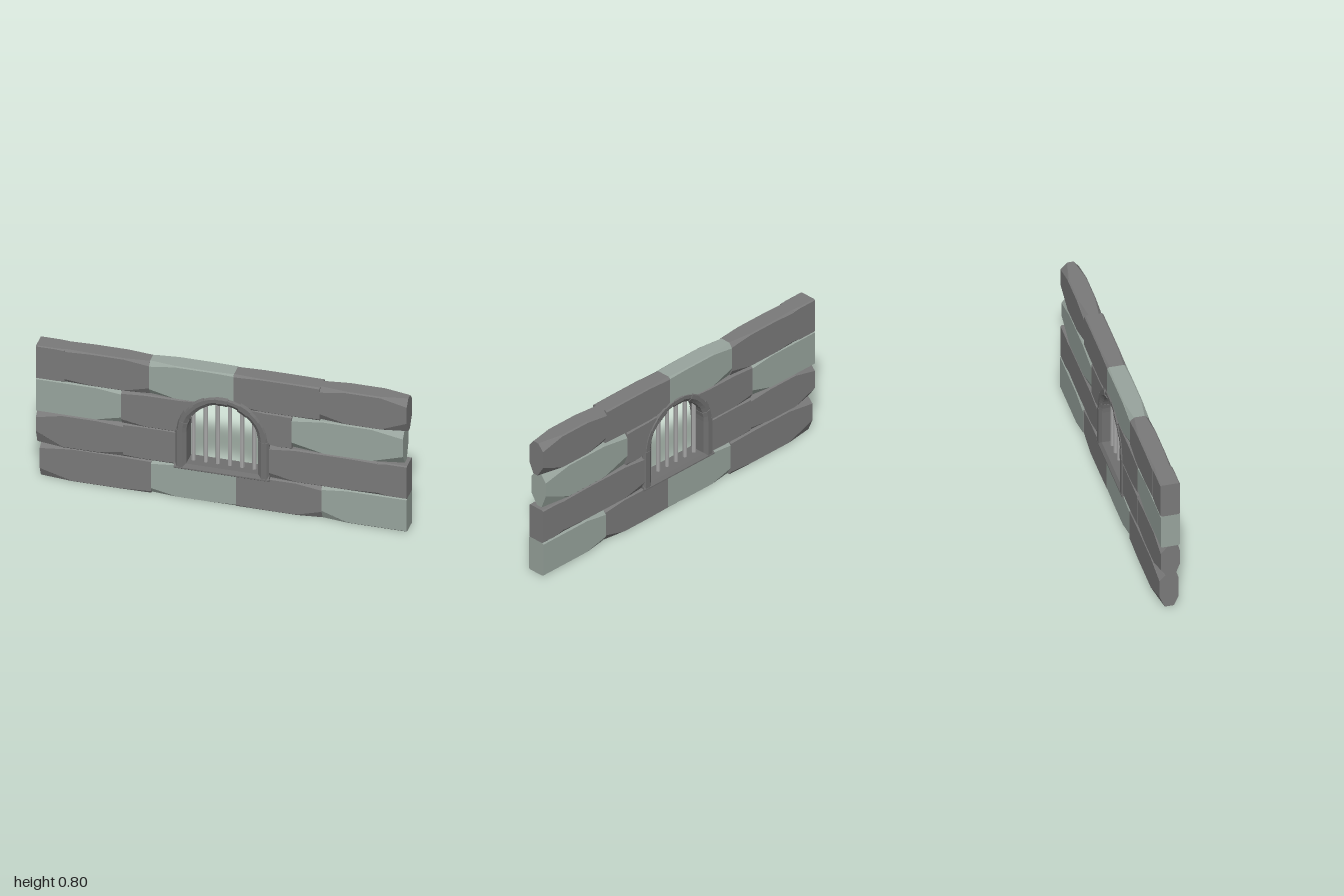
import * as THREE from 'three';

const DARK = 0x7a7a7a, GREEN = 0x98a49d, FRAME = 0x707070, BAR = 0xa6a6a6;
const CX = 0.005, CY = 0.41; // centre of the window arch

let seed = 11;
const rand = () => (seed = (seed * 16807) % 2147483647) / 2147483647;
const vary = (a, b) => a + (b - a) * rand();

const materials = {};
const mat = (color) => (materials[color] ??= new THREE.MeshStandardMaterial({ color, flatShading: true }));

// Skin a row of equal-length cross-sections and cap both ends
function loft(rings) {
  const pos = [];
  const tri = (a, b, c) => pos.push(...a, ...b, ...c);
  const n = rings[0].length, last = rings[rings.length - 1];
  for (let i = 0; i < rings.length - 1; i++) {
    for (let j = 0; j < n; j++) {
      const k = (j + 1) % n;
      tri(rings[i][j], rings[i][k], rings[i + 1][k]);
      tri(rings[i][j], rings[i + 1][k], rings[i + 1][j]);
    }
  }
  for (let j = 1; j < n - 1; j++) {
    tri(rings[0][0], rings[0][j + 1], rings[0][j]);
    tri(last[0], last[j], last[j + 1]);
  }
  const g = new THREE.BufferGeometry();
  g.setAttribute('position', new THREE.Float32BufferAttribute(pos, 3));
  g.computeVertexNormals();
  return g;
}

// Rectangle u0..u1 by v0..v1 with four cut corners [du, dv], counter-clockwise
function cutRect(u0, u1, v0, v1, [a, b, c, d]) {
  return [
    [u1, v1 - a[1]], [u1 - a[0], v1], [u0 + b[0], v1], [u0, v1 - b[1]],
    [u0, v0 + c[1]], [u0 + c[0], v0], [u1 - d[0], v0], [u1, v0 + d[1]],
  ];
}

// Wall stone from x0 to x1; wearL and wearR (0..1) say how far each end is worn away
function wallStone(x0, x1, y0, wearL, wearR) {
  const taper = Math.min(0.17, 0.3 * (x1 - x0));
  const xs = [x0, x0 + taper, x1 - taper, x1];
  if (y0 >= 0.4) {
    for (let i = 0; i <= 14; i++) {
      const x = CX - 0.22 * Math.cos((i / 14) * Math.PI);
      if (x > x0 + 0.005 && x < x1 - 0.005) xs.push(x);
    }
  }
  xs.sort((a, b) => a - b);
  const skew = [0, 1, 2, 3].map(() => [vary(0.7, 1.1), vary(0.7, 1.1)]);
  const zf = vary(0.044, 0.049), zb = vary(-0.057, -0.053);
  const rings = xs.map((x) => {
    const l = Math.max(0, 1 - (x - x0) / taper), r = Math.max(0, 1 - (x1 - x) / taper);
    const wear = l * wearL + r * wearR;
    // the underside follows the arch above the window
    const dx = Math.abs(x - CX);
    const bottom = dx <= 0.2201 && y0 >= 0.4
      ? Math.max(y0, CY + Math.sqrt(Math.max(0, 0.22 ** 2 - dx * dx))) : y0;
    const top = y0 + 0.2, s = Math.max(0.02, Math.min(1, (top - bottom) / 0.2));
    const corner = (i, high) => [
      s * (0.006 + wear * (high ? 0.035 : 0.075)) * skew[i][0],
      (0.008 + wear * 0.032) * skew[i][1],
    ];
    const cut = [corner(0, true), corner(1, false), corner(2, false), corner(3, true)];
    return cutRect(bottom, top, zb, zf, cut).map(([y, z]) => [x, y, z]);
  });
  return loft(rings);
}

// Window surround stone: stations [x, y, outward angle], spanning offsets u0..u1
function frameStone(stations, u0, u1, depth) {
  const outer = [0.01, 0.014], inner = [0.02, 0.014];
  const section = cutRect(u0, u1, -depth, depth, [outer, inner, inner, outer]);
  return loft(stations.map(([x, y, a]) =>
    section.map(([u, v]) => [x + u * Math.cos(a), y + u * Math.sin(a), -v])));
}

export function createModel() {
  const model = new THREE.Group();
  const add = (parent, name, geometry, color) => {
    const mesh = new THREE.Mesh(geometry, mat(color));
    mesh.name = name;
    parent.add(mesh);
    return mesh;
  };
  const group = (name) => {
    const g = new THREE.Group();
    g.name = name;
    model.add(g);
    return g;
  };

  // Courses from the ground up: [x0, x1, colour, wear left, wear right]
  const courses = [
    [[-0.98, -0.38, DARK, 0.8, 0.15], [-0.38, 0.08, GREEN, 0.5, 0.1],
      [0.08, 0.54, DARK, 0.05, 0.6], [0.54, 1, GREEN, 0.6, 0]],
    [[-1, -0.53, DARK, 0.9, 0.3], [-0.53, -0.215, DARK, 0.08, 0.05],
      [0.225, 0.84, DARK, 0.5, 0.1], [0.84, 1, DARK, 0.2, 0]],
    [[-1, -0.54, GREEN, 0, 0.6], [-0.54, -0.112, DARK, 0.3, 0],
      [0.122, 0.38, DARK, 0, 0.08], [0.38, 0.98, GREEN, 0.7, 0.95]],
    [[-1, -0.845, DARK, 0, 0.15], [-0.845, -0.39, DARK, 0.2, 0.5],
      [-0.39, 0.065, GREEN, 0.6, 0.15], [0.065, 0.53, DARK, 0.3, 0.08], [0.53, 1, DARK, 0.6, 0.95]],
  ];
  courses.forEach((stones, row) => {
    const course = group('wallCourse' + (row + 1));
    for (const [x0, x1, color, wl, wr] of stones) {
      add(course, 'wallStone', wallStone(x0, x1, row * 0.2, wl, wr), color);
    }
  });

  // Window surround: arch stones, two jambs and a sill
  const surround = group('windowSurround');
  const count = 11;
  for (let i = 0; i < count; i++) {
    const a0 = (i / count) * Math.PI, a1 = ((i + 1) / count) * Math.PI;
    const stations = [a0, (a0 + a1) / 2, a1].map((a) => [CX, CY, a]);
    add(surround, 'archStone',
      frameStone(stations, vary(0.19, 0.196), vary(0.239, 0.251), vary(0.058, 0.062)), FRAME);
  }
  add(surround, 'leftJamb', frameStone([[CX, 0.19, 0], [CX, 0.42, 0]], 0.194, 0.253, 0.061), FRAME);
  add(surround, 'rightJamb',
    frameStone([[CX, 0.42, Math.PI], [CX, 0.19, Math.PI]], 0.194, 0.253, 0.061), FRAME);
  add(surround, 'sill',
    frameStone([[-0.253, 0.2, -Math.PI / 2], [0.26, 0.2, -Math.PI / 2]], -0.018, 0.019, 0.062), FRAME);

  // Window bars, each reaching up into the arch
  const bars = group('windowBars');
  for (let i = 0; i < 6; i++) {
    const x = -0.163 + i * 0.0655;
    const top = CY + Math.sqrt(0.21 ** 2 - (x - CX) ** 2), low = 0.2;
    const geometry = new THREE.CylinderGeometry(0.0115, 0.0115, top - low, 8);
    add(bars, 'bar', geometry, BAR).position.set(x, (top + low) / 2, 0);
  }
  return model;
}
